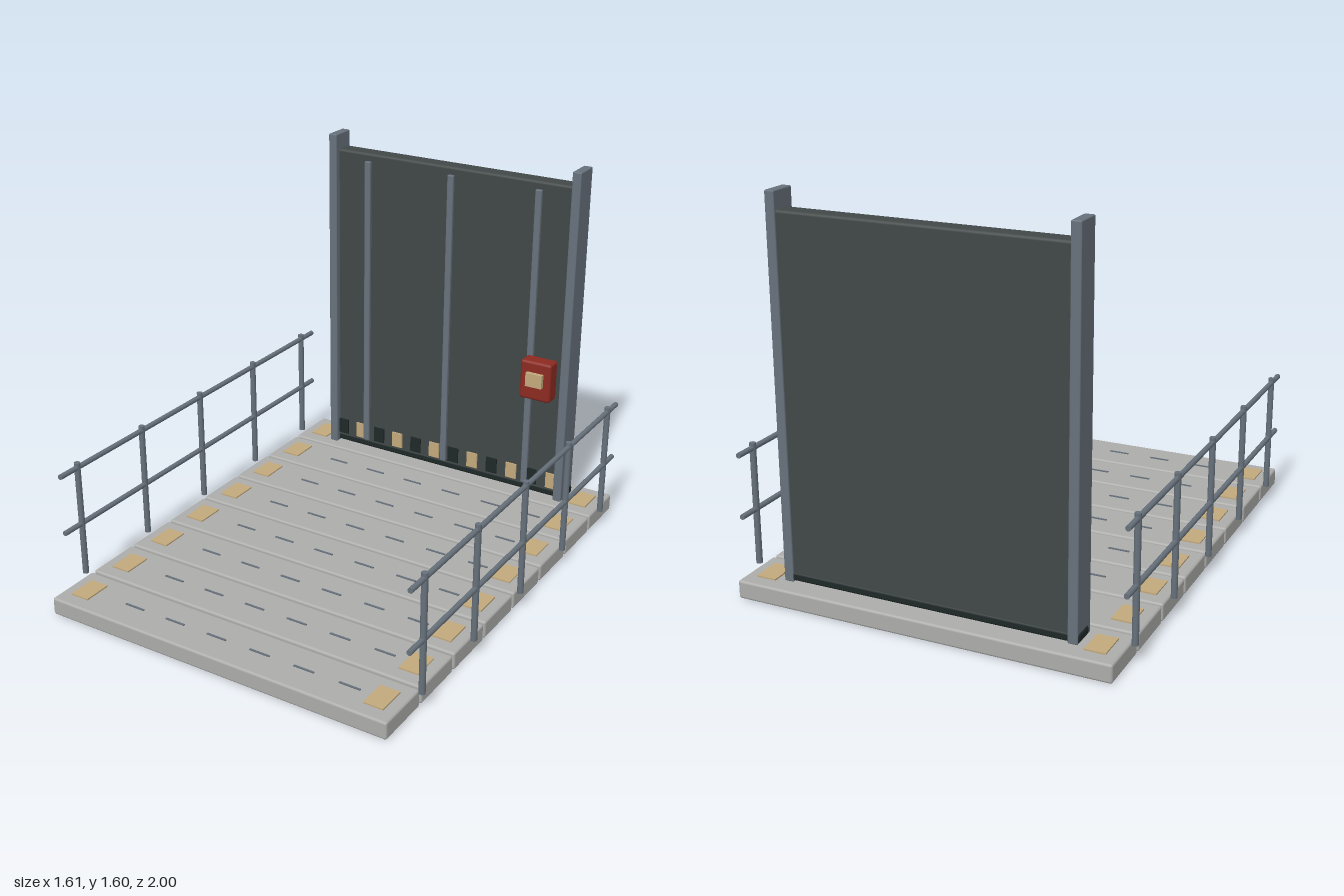
import * as THREE from 'three';
import { RoundedBoxGeometry } from 'three/addons/geometries/RoundedBoxGeometry.js';

const paint = (name, color) => {
  const m = new THREE.MeshStandardMaterial({ color });
  m.name = name;
  return m;
};

export function createModel() {
  const concrete = paint('concrete', 0xacacab);
  const steel = paint('steel', 0x67717b);
  const panelGrey = paint('panelGrey', 0x414847);
  const rubber = paint('rubber', 0x1e2828);
  const tan = paint('tan', 0xc3a97c);
  const red = paint('red', 0x8c2a21);

  const model = new THREE.Group();
  model.name = 'liftGatePlatform';
  const group = (name) => {
    const g = new THREE.Group();
    g.name = name;
    model.add(g);
    return g;
  };
  const add = (parent, name, geometry, material, x, y, z) => {
    const mesh = new THREE.Mesh(geometry, material);
    mesh.name = name;
    mesh.position.set(x, y, z);
    parent.add(mesh);
    return mesh;
  };
  const box = (w, h, d) => new THREE.BoxGeometry(w, h, d);
  const rounded = (w, h, d, r) => new RoundedBoxGeometry(w, h, d, 2, r);

  // Deck: eight slabs with corner plates and a row of thin grooves
  const deck = group('deck');
  const slabGeo = rounded(1.55, 0.075, 0.24, 0.01);
  const plateGeo = box(0.083, 0.008, 0.122);
  const grooveGeo = box(0.09, 0.006, 0.008);
  for (let i = 0; i < 8; i++) {
    const z = -0.88 + i * (1.76 / 7);
    add(deck, 'slab', slabGeo, concrete, 0, 0.0375, z);
    for (const side of [-1, 1]) add(deck, 'tanPlate', plateGeo, tan, side * 0.685, 0.077, z);
    for (let k = 0; k < 6; k++) add(deck, 'groove', grooveGeo, steel, -0.45 + k * 0.2, 0.076, z);
  }

  // Gate: panel, side posts, bottom seal and ribs
  const gate = group('gate');
  add(gate, 'gatePanel', rounded(1.17, 1.43, 0.08, 0.012), panelGrey, 0, 0.81, -0.875);
  add(gate, 'bottomSeal', rounded(1.235, 0.035, 0.09, 0.01), rubber, 0, 0.0975, -0.875);
  for (const side of [-1, 1]) {
    add(gate, 'gatePost', rounded(0.04, 1.52, 0.115, 0.005), steel, side * 0.592, 0.835, -0.865);
  }
  for (const x of [-0.418, 0, 0.418]) {
    add(gate, 'rib', rounded(0.03, 1.375, 0.02, 0.004), steel, x, 0.8025, -0.831);
  }

  // Alternating warning blocks along the foot of the gate
  const blockGeo = box(0.053, 0.073, 0.008);
  for (let i = 0; i < 12; i++) {
    add(gate, 'warningBlock', blockGeo, i % 2 ? tan : rubber, -0.55 + i * 0.1, 0.155, -0.832);
  }

  // Control box with its button
  const control = group('controlBox');
  add(control, 'housing', rounded(0.145, 0.18, 0.072, 0.012), red, 0.49, 0.667, -0.766);
  add(control, 'button', box(0.077, 0.062, 0.025), tan, 0.491, 0.677, -0.7235);

  // Side railings: five uprights and two rails each
  const uprightGeo = new THREE.CylinderGeometry(0.013, 0.013, 0.505, 12);
  const railGeo = new THREE.CylinderGeometry(0.011, 0.011, 1.805, 12).rotateX(Math.PI / 2);
  for (const side of [-1, 1]) {
    const railing = group(side > 0 ? 'leftRailing' : 'rightRailing');
    for (let i = 0; i < 5; i++) {
      add(railing, 'upright', uprightGeo, steel, side * 0.793, 0.3275, 0.778 - i * 0.402);
    }
    for (const y of [0.305, 0.558]) add(railing, 'rail', railGeo, steel, side * 0.793, y, -0.022);
  }
  return model;
}
